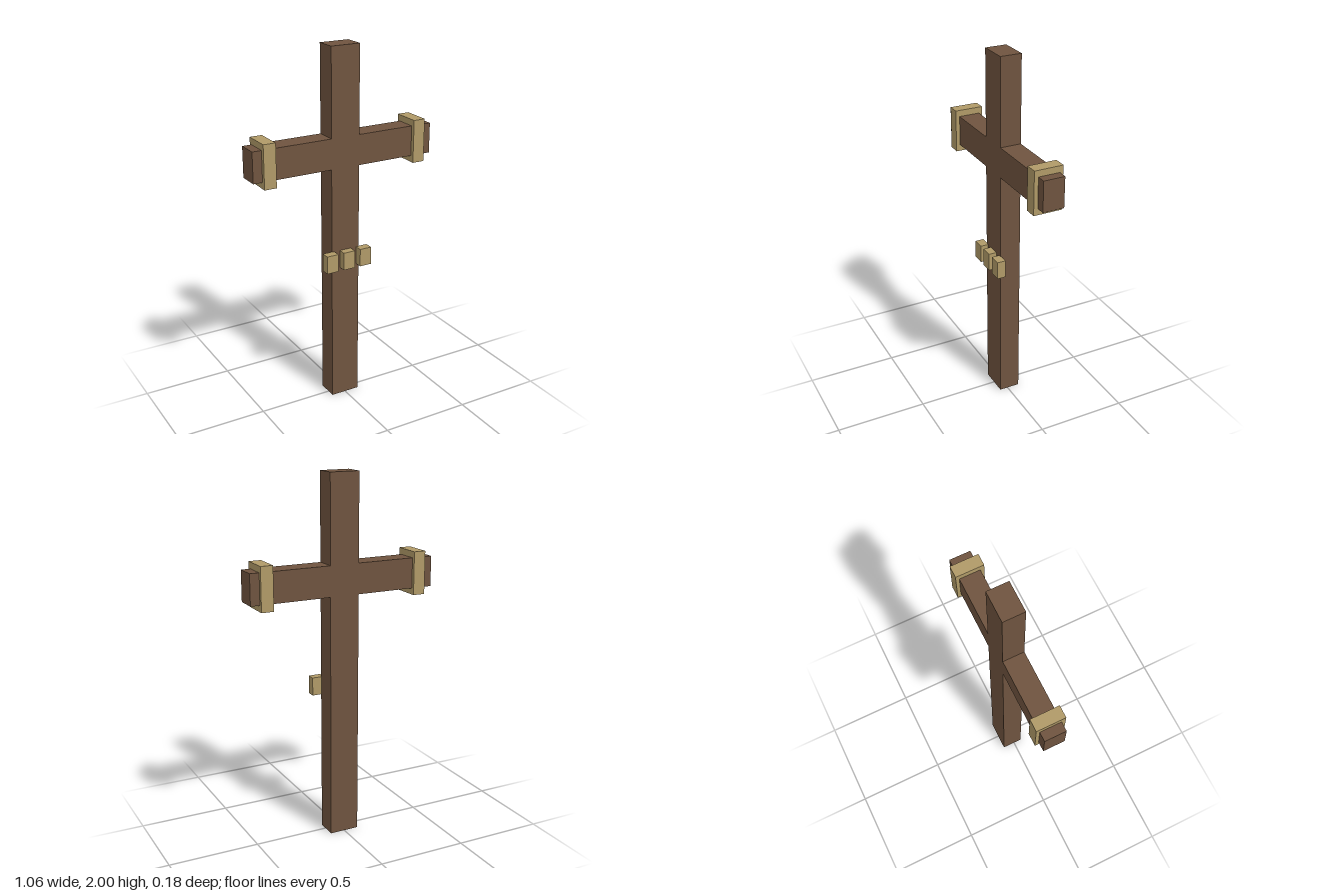
import * as THREE from 'three';

export function createModel() {
  const model = new THREE.Group();
  model.name = 'woodenCross';
  const wood = new THREE.MeshStandardMaterial({ color: 0x6f543f });
  wood.name = 'dark wood';
  const tan = new THREE.MeshStandardMaterial({ color: 0xb09a68 });
  tan.name = 'tan binding';

  // Box given by its lower and upper corner
  function block(name, material, [x0, y0, z0], [x1, y1, z1]) {
    const mesh = new THREE.Mesh(new THREE.BoxGeometry(x1 - x0, y1 - y0, z1 - z0), material);
    mesh.position.set((x0 + x1) / 2, (y0 + y1) / 2, (z0 + z1) / 2);
    mesh.name = name;
    model.add(mesh);
  }

  // Upright post and crossbeam, outlined as one flush timber cross
  const w = 0.083, arm = 0.53, low = 1.358, high = 1.525;
  const half = [[w, 0], [w, low], [arm, low], [arm, high], [w, high], [w, 2]];
  const mirrored = half.map(([x, y]) => [-x, y]).reverse();
  const outline = new THREE.Shape([...half, ...mirrored].map(([x, y]) => new THREE.Vector2(x, y)));
  const timber = new THREE.Mesh(
    new THREE.ExtrudeGeometry(outline, { depth: 0.117, bevelEnabled: false }), wood);
  timber.position.z = -0.071;
  timber.name = 'postAndCrossbeam';
  model.add(timber);

  // Bindings wrapped round both ends of the crossbeam
  for (const [name, x] of [['leftBinding', 0.445], ['rightBinding', -0.445]])
    block(name, tan, [x - 0.034, 1.323, -0.09], [x + 0.034, 1.56, 0.068]);

  // Three small blocks across the front of the post
  ['rightBlock', 'middleBlock', 'leftBlock'].forEach((name, i) => {
    const x = (i - 1) * 0.102;
    block(name, tan, [x - 0.034, 0.793, 0.042], [x + 0.034, 0.893, 0.09]);
  });

  return model;
}
